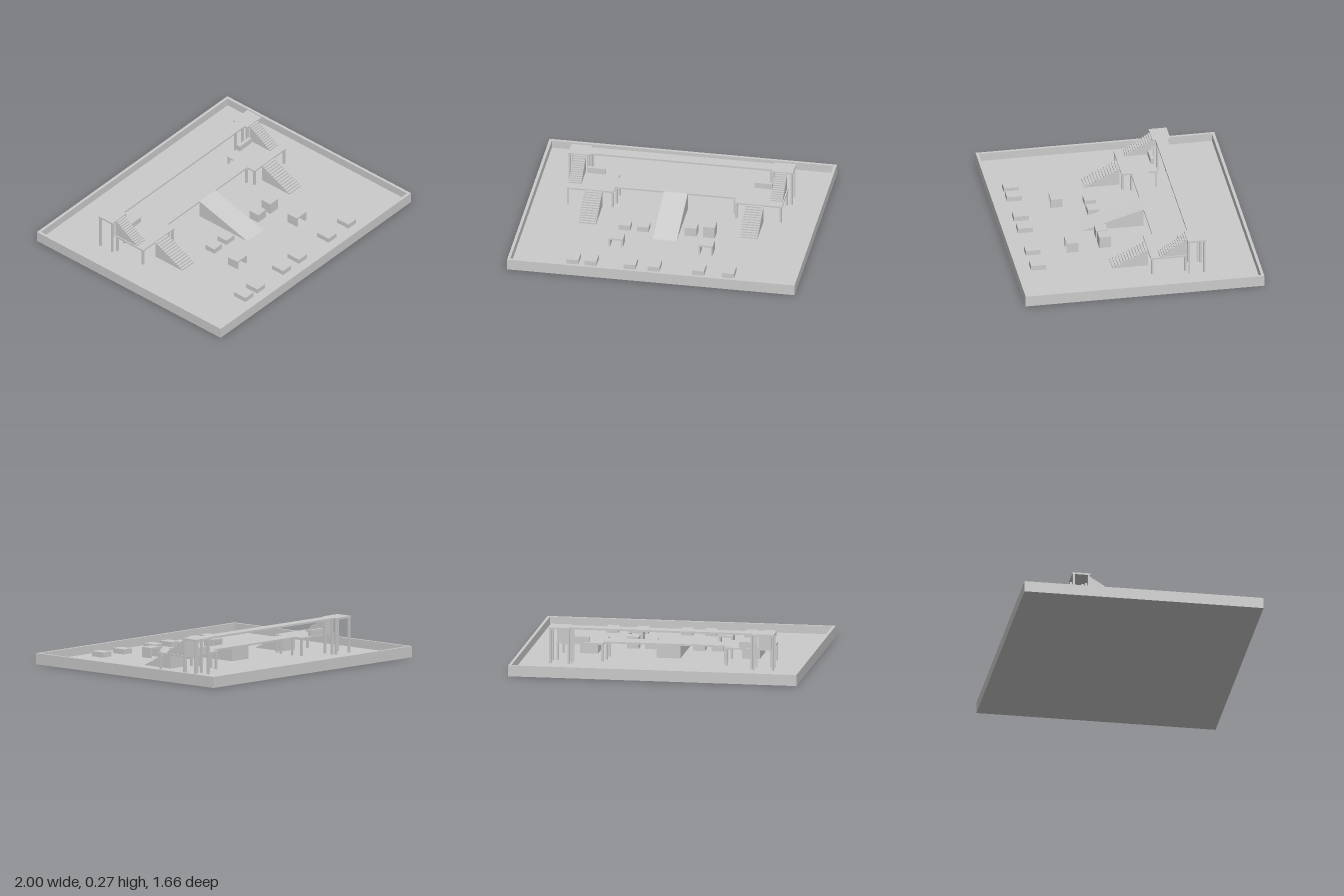
import * as THREE from 'three';

const FLOOR = 0.02, LOW = 0.147, HIGH = 0.273;

export function createModel() {
  const model = new THREE.Group();
  const mat = new THREE.MeshStandardMaterial({ color: 0xcccccc, flatShading: true });

  const add = (name, geometry) => {
    const mesh = new THREE.Mesh(geometry, mat);
    mesh.name = name;
    model.add(mesh);
    return mesh;
  };
  // Box given by its limits on each axis
  const box = (name, x0, x1, y0, y1, z0, z1) =>
    add(name, new THREE.BoxGeometry(x1 - x0, y1 - y0, z1 - z0))
      .position.set((x0 + x1) / 2, (y0 + y1) / 2, (z0 + z1) / 2);
  // Side profile of [z, y] points, extruded from x0 to x1
  const sideProfile = (name, points, x0, x1) => {
    const shape = new THREE.Shape(points.map(([z, y]) => new THREE.Vector2(-z, y)));
    const geo = new THREE.ExtrudeGeometry(shape, { depth: x1 - x0, bevelEnabled: false });
    geo.rotateY(Math.PI / 2);
    geo.translate(x0, 0, 0);
    add(name, geo);
  };
  // Deck outline mirrored in x from its right half of [x, z] points
  const deck = (name, half, top, thickness) => {
    const outline = [...half, ...half.map(([x, z]) => [-x, z]).reverse()];
    const shape = new THREE.Shape(outline.map(([x, z]) => new THREE.Vector2(x, -z)));
    const geo = new THREE.ExtrudeGeometry(shape, { depth: thickness, bevelEnabled: false });
    geo.rotateX(-Math.PI / 2);
    geo.translate(0, top - thickness, 0);
    add(name, geo);
  };
  // Solid flight of steps descending towards +z
  const stairs = (name, x0, x1, zBack, zFront, bottom, top, count) => {
    const points = [[zBack, bottom]];
    const run = (zFront - zBack) / count, rise = (top - bottom) / count;
    for (let i = 0; i < count; i++) {
      const y = top - i * rise;
      points.push([zBack + i * run, y], [zBack + (i + 1) * run, y]);
    }
    points.push([zFront, bottom]);
    sideProfile(name, points, x0, x1);
  };

  // Tray: floor and low perimeter walls
  box('floor', -1, 1, 0, FLOOR, -0.83, 0.83);
  for (const s of [-1, 1]) {
    box('sideWall', s * 0.99 - 0.01, s * 0.99 + 0.01, FLOOR, 0.077, -0.83, 0.83);
    box('endWall', -0.98, 0.98, FLOOR, 0.077, s * 0.82 - 0.01, s * 0.82 + 0.01);
  }

  // Two raised decks
  deck('lowerDeck', [[0.42, -0.15], [0.42, -0.085], [0.75, -0.085],
    [0.75, -0.335], [0.42, -0.335], [0.42, -0.272]], LOW, 0.012);
  deck('upperDeck', [[0.633, -0.357], [0.633, -0.335], [0.782, -0.335],
    [0.782, -0.46], [0.633, -0.46], [0.633, -0.44]], HIGH, 0.013);

  // Central ramp
  sideProfile('ramp', [[-0.15, FLOOR], [-0.15, LOW], [0.285, FLOOR]], -0.083, 0.083);

  const lowerPosts = [[0.74, -0.095], [0.43, -0.095], [0.41, -0.15],
    [0.41, -0.257], [0.74, -0.325], [0.43, -0.325]];
  const upperPosts = [[0.772, -0.345], [0.772, -0.45], [0.643, -0.345],
    [0.643, -0.45], [0.623, -0.367], [0.623, -0.43]];

  // Mirrored stairs, posts and barriers
  for (const s of [-1, 1]) {
    const span = (a, b) => (s > 0 ? [a, b] : [-b, -a]);
    stairs('lowerStairs', ...span(0.5, 0.623), -0.085, 0.16, FLOOR, LOW - 0.008, 13);
    stairs('upperStairs', ...span(0.657, 0.742), -0.335, -0.15, LOW, HIGH - 0.008, 13);
    box('barrier', ...span(0.52, 0.643), LOW, 0.188, -0.328, -0.304);
    for (const [posts, top] of [[lowerPosts, LOW], [upperPosts, HIGH]])
      for (const [x, z] of posts)
        box('post', s * x - 0.007, s * x + 0.007, FLOOR, top - 0.012, z - 0.007, z + 0.007);
  }

  // Crates: x, z, top height
  const crates = [[-0.296, 0.162, 0.058], [-0.168, 0.162, 0.058],
    [0.165, 0.162, 0.083], [0.292, 0.162, 0.103]];
  for (const [x, z, top] of crates)
    box('crate', x - 0.041, x + 0.041, FLOOR, top, z - 0.04, z + 0.04);
  for (const x of [-0.565, -0.44, -0.168, -0.002, 0.308, 0.516])
    box('frontCrate', x - 0.041, x + 0.041, FLOOR, 0.055, 0.612, 0.715);

  // Open tables: slab on two side panels
  for (const [x, top] of [[-0.315, 0.083], [0.31, 0.092]]) {
    box('tableTop', x - 0.05, x + 0.05, top - 0.012, top, 0.352, 0.434);
    for (const s of [-1, 1])
      box('tableSide', x + s * 0.044 - 0.006, x + s * 0.044 + 0.006, FLOOR, top - 0.012, 0.352, 0.434);
  }
  return model;
}
